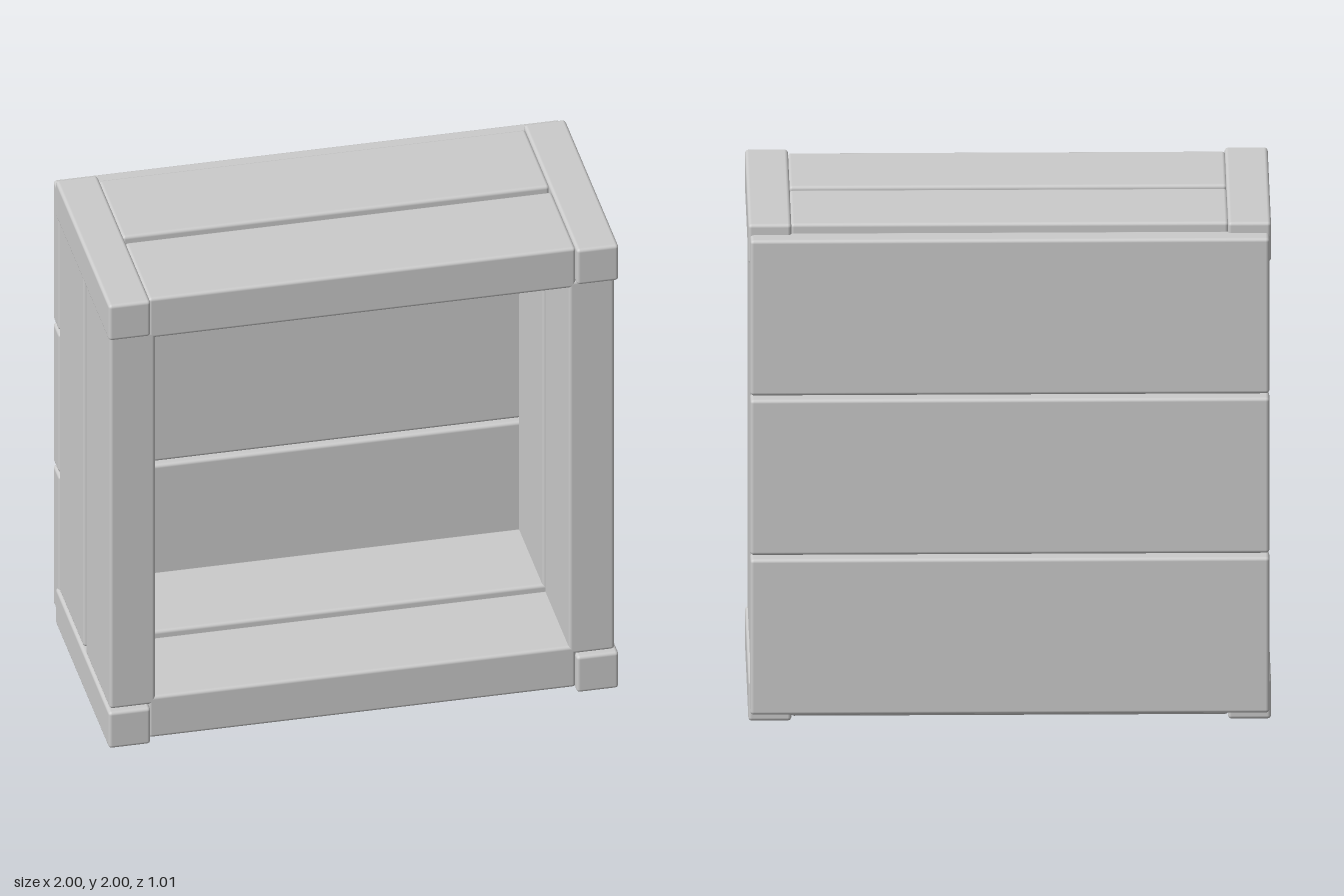
import * as THREE from 'three';
import { RoundedBoxGeometry } from 'three/addons/geometries/RoundedBoxGeometry.js';

const material = new THREE.MeshStandardMaterial({ color: 0xcccccc });

// Softly bevelled timber given by its extents on each axis
function timber(name, [x0, x1], [y0, y1], [z0, z1]) {
  const geometry = new RoundedBoxGeometry(x1 - x0, y1 - y0, z1 - z0, 2, 0.014);
  const mesh = new THREE.Mesh(geometry, material);
  mesh.name = name;
  mesh.position.set((x0 + x1) / 2, (y0 + y1) / 2, (z0 + z1) / 2);
  return mesh;
}

export function createModel() {
  const crate = new THREE.Group();
  crate.name = 'crate';

  // Four corner rails running front to back
  for (const [side, xs] of [['left', [0.835, 1]], ['right', [-1, -0.835]]]) {
    crate.add(timber(side + 'TopRail', xs, [1.84, 2], [-0.432, 0.503]));
    crate.add(timber(side + 'BottomRail', xs, [0, 0.163], [-0.432, 0.503]));
  }

  // Two planks, front and rear, on each of the four walls
  for (const [end, zs] of [['Front', [0.055, 0.475]], ['Rear', [-0.405, 0.017]]]) {
    crate.add(timber('left' + end + 'Plank', [0.81, 0.99], [0.16, 1.843], zs));
    crate.add(timber('right' + end + 'Plank', [-0.99, -0.81], [0.16, 1.843], zs));
    crate.add(timber('top' + end + 'Plank', [-0.838, 0.838], [1.813, 1.993], zs));
    crate.add(timber('bottom' + end + 'Plank', [-0.838, 0.838], [0.01, 0.195], zs));
  }

  // Three wide boards across the back
  for (const ys of [[0.047, 0.674], [0.69, 1.316], [1.332, 1.958]]) {
    crate.add(timber('backBoard', [-0.993, 0.993], ys, [-0.503, -0.403]));
  }
  return crate;
}
